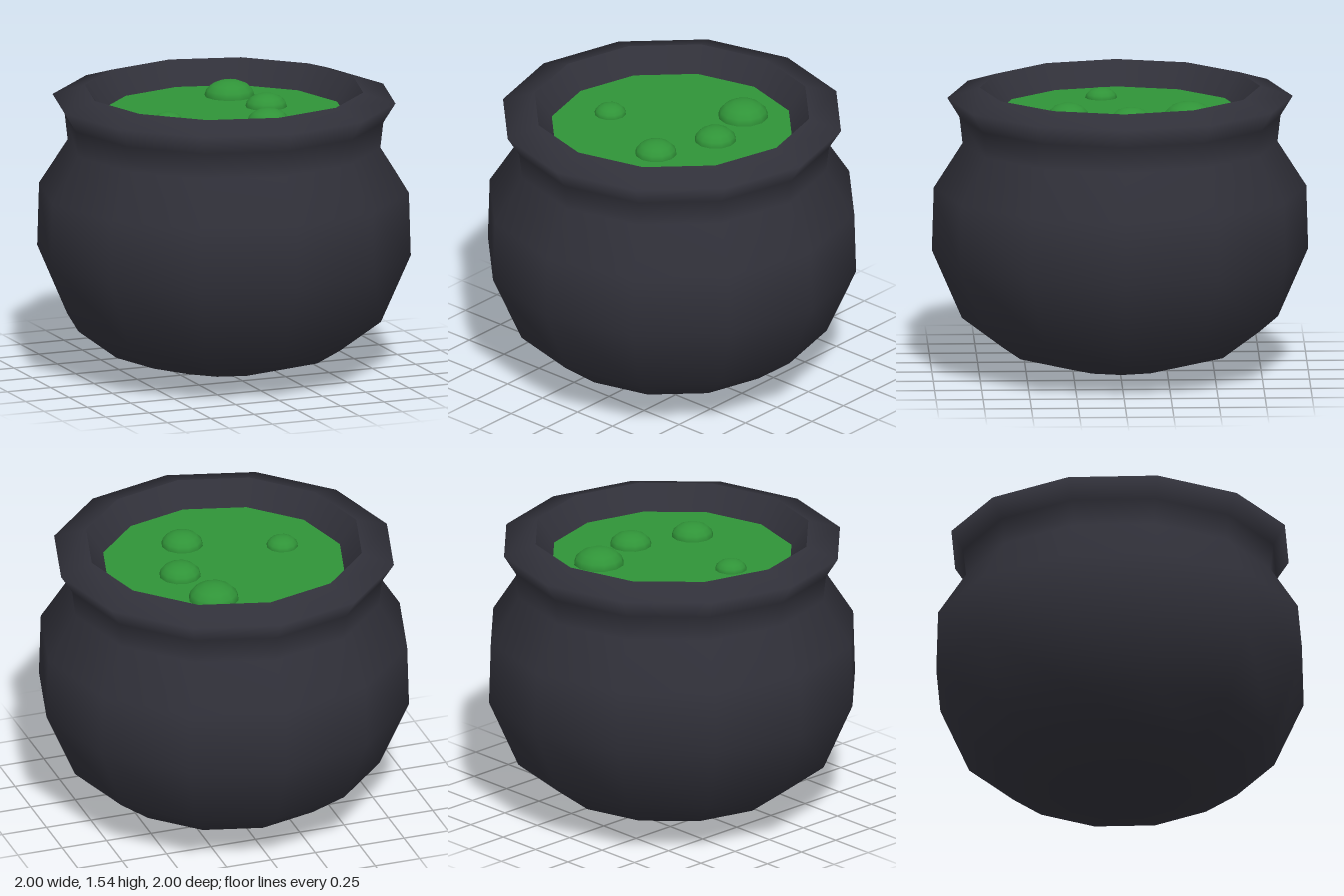
import * as THREE from 'three';

const SIDES = 12;
const LIQUID_Y = 1.41;

function lathe(name, profile, material) {
  const points = profile.map(([r, y]) => new THREE.Vector2(r, y));
  const mesh = new THREE.Mesh(new THREE.LatheGeometry(points, SIDES), material);
  mesh.name = name;
  return mesh;
}

export function createModel() {
  const iron = new THREE.MeshStandardMaterial({ color: 0x31313a });
  iron.name = 'dark iron';
  const brew = new THREE.MeshStandardMaterial({ color: 0x309438 });
  brew.name = 'green brew';

  const group = new THREE.Group();
  group.name = 'cauldron';

  // Rounded pot with pinched neck and flared lip
  group.add(lathe('pot', [
    [0, 0], [0.11, 0.002], [0.31, 0.04], [0.62, 0.128], [0.84, 0.292], [1, 0.66],
    [0.99, 1], [0.837, 1.24], [0.853, 1.38], [0.918, 1.485], [0.745, 1.54],
  ], iron));

  // Inside of the lip, sloping down to the brew
  group.add(lathe('innerWall', [[0.745, 1.54], [0.653, LIQUID_Y]], iron));

  // Brew surface
  group.add(lathe('brewSurface', [[0.653, LIQUID_Y], [0, LIQUID_Y]], brew));

  // Flattened bubbles: x, z, radius
  const bubbles = [
    [0.185, -0.36, 0.135], [0.265, -0.05, 0.112], [0.137, 0.28, 0.112], [-0.36, 0.09, 0.085],
  ];
  const dome = new THREE.SphereGeometry(1, SIDES, 4, 0, Math.PI * 2, 0, Math.PI / 2);
  bubbles.forEach(([x, z, r], i) => {
    const bubble = new THREE.Mesh(dome, brew);
    bubble.name = `bubble${i + 1}`;
    bubble.position.set(x, LIQUID_Y, z);
    bubble.scale.set(r, r * 0.63, r);
    group.add(bubble);
  });

  return group;
}
